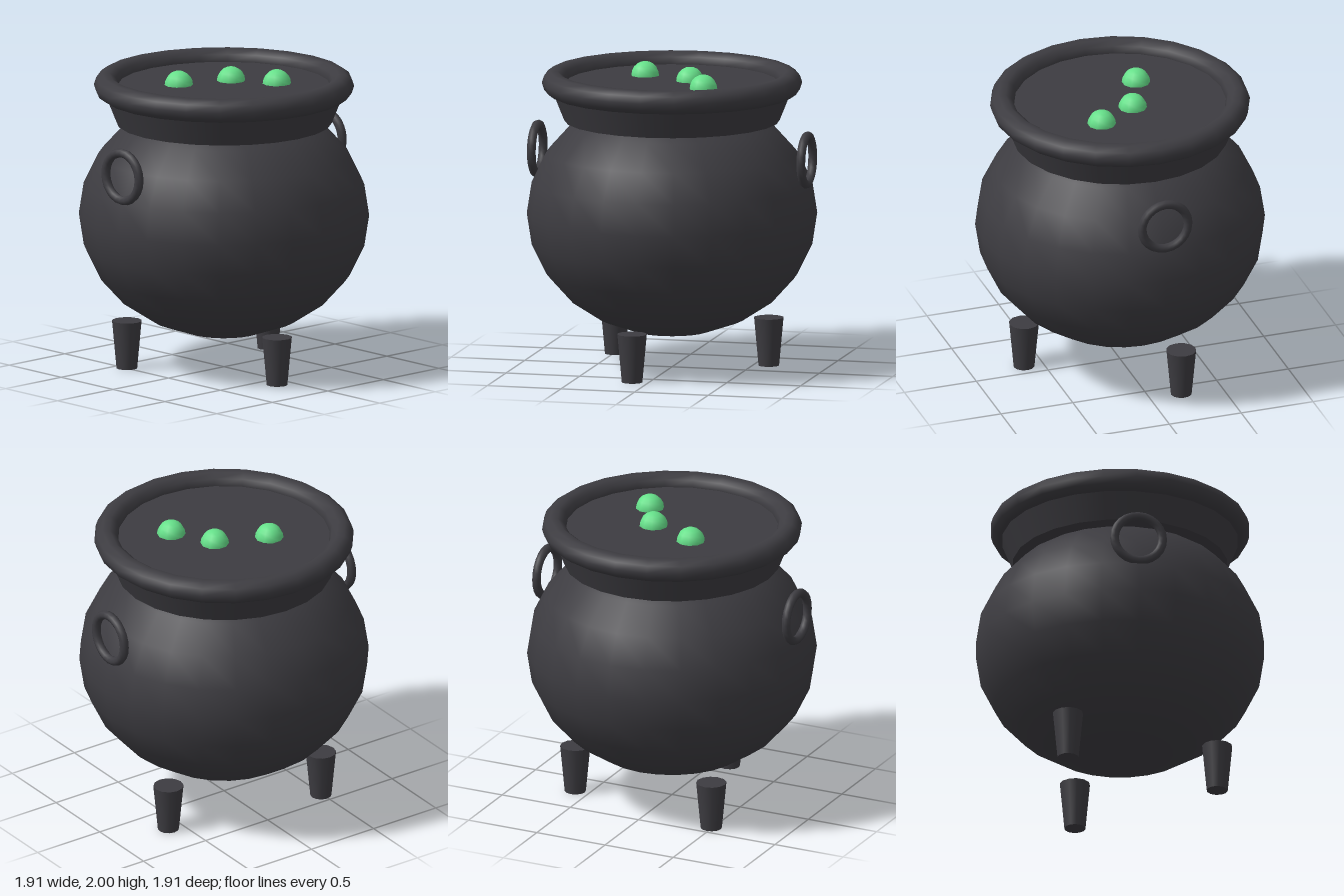
import * as THREE from 'three';

export function createModel() {
  const group = new THREE.Group();
  const iron = new THREE.MeshStandardMaterial({ color: 0x3d3c41 });
  const green = new THREE.MeshStandardMaterial({ color: 0x66e08a });

  const add = (name, geometry, material, x, y, z) => {
    const mesh = new THREE.Mesh(geometry, material);
    mesh.name = name;
    mesh.position.set(x, y, z);
    group.add(mesh);
    return mesh;
  };

  // Squashed round belly
  add('body', new THREE.SphereGeometry(0.956, 24, 12), iron, 0, 1.03, 0).scale.y = 0.848;

  // Flared neck; its top cap is the surface of the brew
  add('neck', new THREE.CylinderGeometry(0.81, 0.71, 0.25, 24), iron, 0, 1.775, 0);

  // Thick rolled rim
  add('rim', new THREE.TorusGeometry(0.778, 0.079, 10, 24), iron, 0, 1.9, 0).rotation.x = Math.PI / 2;

  // Ring handles on both sides
  for (const side of [-1, 1]) {
    const name = side > 0 ? 'leftHandle' : 'rightHandle';
    add(name, new THREE.TorusGeometry(0.16, 0.03, 8, 24), iron, side * 0.915, 1.42, 0).rotation.y = Math.PI / 2;
  }

  // Three tapered feet, evenly spaced
  const legGeometry = new THREE.CylinderGeometry(0.1, 0.07, 0.32, 12);
  for (let i = 0; i < 3; i++) {
    const a = THREE.MathUtils.degToRad(100 + i * 120);
    add(`leg${i + 1}`, legGeometry, iron, Math.cos(a) * 0.64, 0.16, Math.sin(a) * 0.64);
  }

  // Half bubbles on the brew
  const bubbleGeometry = new THREE.SphereGeometry(0.094, 10, 5, 0, Math.PI * 2, 0, Math.PI / 2);
  [[-0.23, -0.19], [0.11, -0.05], [0.27, 0.22]].forEach(([x, z], i) => {
    add(`bubble${i + 1}`, bubbleGeometry, green, x, 1.906, z);
  });

  return group;
}
